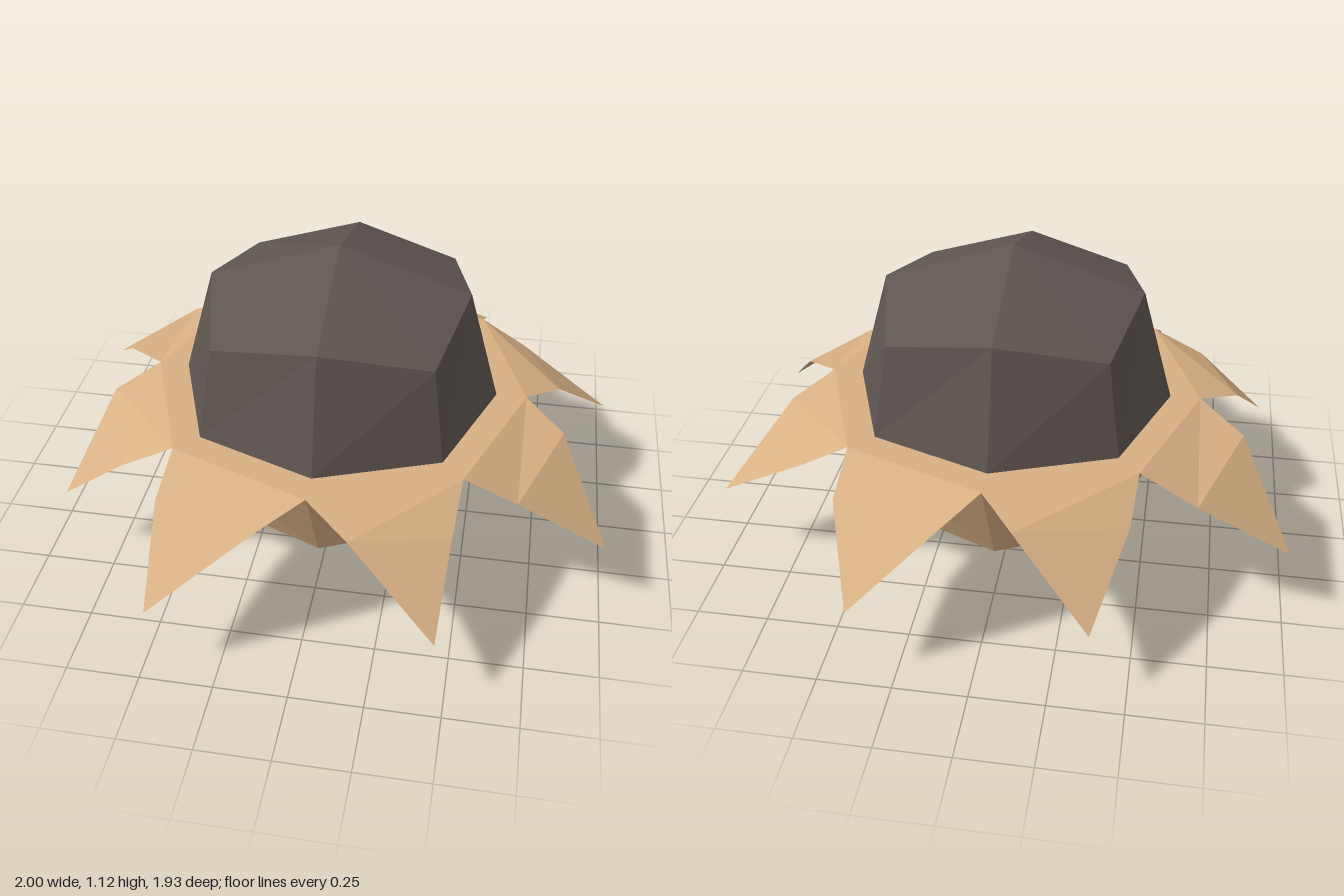
import * as THREE from 'three';

const CX = 0.006; // slight sideways offset of the body
const RIM_Y = 0.575;

// Eight-point ring: even points lie on the axes, odd points on the diagonals
function ring(axisR, axisY, cornerXZ, cornerY) {
  return Array.from({ length: 8 }, (_, i) => {
    const a = (i * Math.PI) / 4;
    const r = i % 2 ? cornerXZ * Math.SQRT2 : axisR;
    return [CX + r * Math.cos(a), i % 2 ? cornerY : axisY, r * Math.sin(a)];
  });
}

// Faceted mesh from polygons (each split as a fan)
function facetMesh(name, faces, material, flip = false) {
  const pos = [];
  for (const f of faces) {
    for (let k = 1; k < f.length - 1; k++) {
      const tri = flip ? [f[0], f[k + 1], f[k]] : [f[0], f[k], f[k + 1]];
      tri.forEach((p) => pos.push(...p));
    }
  }
  const geo = new THREE.BufferGeometry();
  geo.setAttribute('position', new THREE.Float32BufferAttribute(pos, 3));
  geo.computeVertexNormals();
  const mesh = new THREE.Mesh(geo, material);
  mesh.name = name;
  return mesh;
}

// Band of quads between two rings
const band = (a, b) => a.map((p, i) => [p, a[(i + 1) % 8], b[(i + 1) % 8], b[i]]);

// Half of a once-subdivided cube sphere: four cap quads and eight side quads
function halfShell(poleY, shoulder, rim) {
  const pole = [CX, poleY, 0];
  const cap = [1, 3, 5, 7].map((i) => [pole, shoulder[(i + 1) % 8], shoulder[i], shoulder[i - 1]]);
  return [...cap, ...band(shoulder, rim)];
}

export function createModel() {
  const group = new THREE.Group();
  group.name = 'petalledPod';

  const tan = new THREE.MeshStandardMaterial({ color: 0xd8b084, flatShading: true, side: THREE.DoubleSide });
  tan.name = 'tan husk';
  const dark = new THREE.MeshStandardMaterial({ color: 0x5f5651, flatShading: true });
  dark.name = 'dark kernel';

  const outerRim = ring(0.675, RIM_Y, 0.49, RIM_Y);
  const innerRim = ring(0.568, RIM_Y, 0.415, RIM_Y);

  // Dark dome, lower bowl and the flat lip between them
  group.add(facetMesh('kernelDome', halfShell(1.13, ring(0.455, 0.98, 0.37, 0.905), innerRim), dark));
  group.add(facetMesh('huskBowl', halfShell(0.008, ring(0.455, 0.16, 0.37, 0.23), outerRim), tan, true));
  group.add(facetMesh('huskLip', band(innerRim, outerRim), tan));

  // Drooping petals, one per rim side: two middle points and the tip, as x, z
  const petals = [
    [[0.82, 0.125], [0.68, 0.475], [0.99, 0.42]],
    [[0.48, 0.685], [0.16, 0.795], [0.46, 0.95]],
    [[-0.13, 0.795], [-0.505, 0.655], [-0.47, 0.965]],
    [[-0.67, 0.495], [-0.805, 0.125], [-0.915, 0.445]],
    [[-0.825, -0.14], [-0.68, -0.525], [-1.0, -0.465]],
    [[-0.47, -0.66], [-0.11, -0.8], [-0.375, -0.96]],
    [[0.11, -0.805], [0.505, -0.66], [0.395, -0.97]],
    [[0.66, -0.48], [0.8, -0.14], [0.995, -0.4]],
  ];
  petals.forEach(([m0, m1, t], i) => {
    const axisMidY = 0.525, cornerMidY = 0.48;
    const a = [m0[0], i % 2 ? cornerMidY : axisMidY, m0[1]];
    const b = [m1[0], i % 2 ? axisMidY : cornerMidY, m1[1]];
    const tip = [t[0], 0.28, t[1]];
    const faces = [[outerRim[i], outerRim[(i + 1) % 8], b, a], [a, b, tip]];
    group.add(facetMesh('petal' + (i + 1), faces, tan));
  });

  return group;
}
